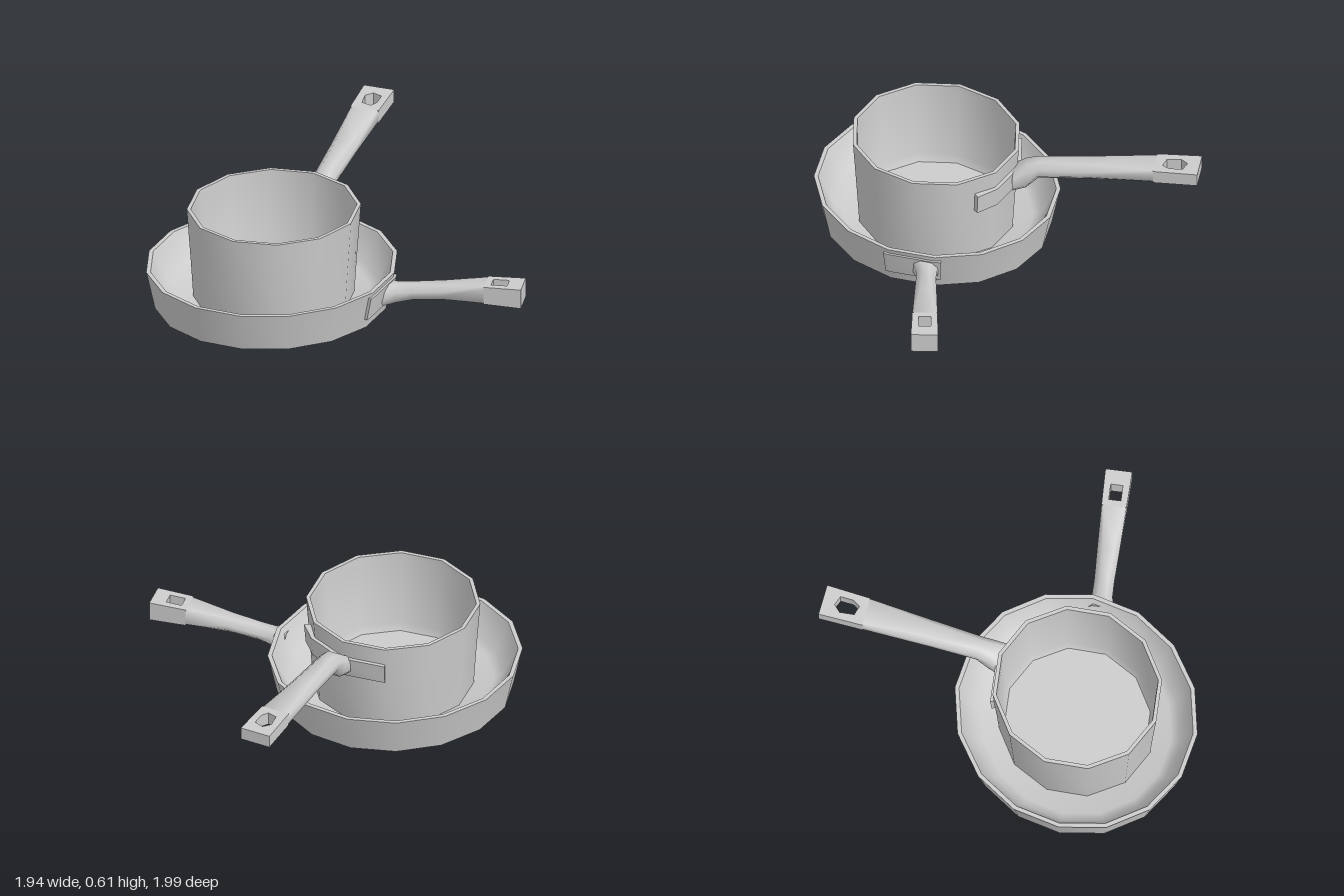
import * as THREE from 'three';
import { toCreasedNormals } from 'three/addons/utils/BufferGeometryUtils.js';

const metal = new THREE.MeshStandardMaterial({ color: 0xcccccc });
metal.name = 'light grey metal';

const rad = THREE.MathUtils.degToRad;

function addMesh(parent, name, geometry, crease = 42) {
  const mesh = new THREE.Mesh(toCreasedNormals(geometry, rad(crease)), metal);
  mesh.name = name;
  parent.add(mesh);
}

// Faceted vessel: the profile holds [radius ratio, height] from the outer base round to the inner floor
function addVessel(parent, name, v) {
  const pts = v.profile.map(([r, y]) => new THREE.Vector2(r, y));
  const geo = new THREE.LatheGeometry(pts, v.sides, rad(v.turn));
  geo.scale(v.rx, 1, v.rz);
  geo.translate(v.cx, 0, v.cz);
  addMesh(parent, name, geo);
}

// Mounting plate that wraps the wall through the given angles and leans with it;
// low and high are [height, wall radius ratio]
function addPlate(parent, name, v, angles, inset, outset, low, high) {
  const at = (deg, r) => new THREE.Vector2(r * Math.cos(rad(deg)), -r * Math.sin(rad(deg)));
  const outline = [
    ...angles.map((a) => at(a, 1 + outset)),
    ...[...angles].reverse().map((a) => at(a, 1 - inset)),
  ];
  const geo = new THREE.ExtrudeGeometry(new THREE.Shape(outline), { depth: 1, bevelEnabled: false });
  geo.rotateX(-Math.PI / 2);
  const p = geo.attributes.position;
  for (let i = 0; i < p.count; i++) {
    const [y, r] = p.getY(i) > 0.5 ? high : low;
    p.setXYZ(i, v.cx + p.getX(i) * v.rx * r, y, v.cz + p.getZ(i) * v.rz * r);
  }
  addMesh(parent, name, geo);
}

// Chamfered sections [x, bottom, top, width, chamfer] joined into a stem
function stemGeometry(sections) {
  const pos = [], index = [];
  for (const [x, b, t, w, c] of sections) {
    const h = w / 2;
    const ring = [[c - h, t], [h - c, t], [h, t - c], [h, b + c], [h - c, b], [c - h, b], [-h, b + c], [-h, t - c]];
    ring.forEach(([z, y]) => pos.push(x, y, z));
  }
  for (let i = 0; i < sections.length - 1; i++) {
    for (let j = 0; j < 8; j++) {
      const a = i * 8 + j, b = i * 8 + (j + 1) % 8, c = b + 8, d = a + 8;
      index.push(a, b, d, b, c, d);
    }
  }
  const geo = new THREE.BufferGeometry();
  geo.setAttribute('position', new THREE.Float32BufferAttribute(pos, 3));
  geo.setIndex(index);
  return geo;
}

// Flat end block with a hanging hole, following the heights of the stem
function gripEndGeometry(from, to, hole) {
  const shape = new THREE.Shape([
    new THREE.Vector2(from[0], -from[3] / 2), new THREE.Vector2(to[0], -to[3] / 2),
    new THREE.Vector2(to[0], to[3] / 2), new THREE.Vector2(from[0], from[3] / 2),
  ]);
  shape.holes.push(new THREE.Path(hole.map(([x, y]) => new THREE.Vector2(x, y))));
  const geo = new THREE.ExtrudeGeometry(shape, { depth: 1, bevelEnabled: false });
  geo.rotateX(-Math.PI / 2);
  const p = geo.attributes.position;
  for (let i = 0; i < p.count; i++) {
    const f = (p.getX(i) - from[0]) / (to[0] - from[0]);
    const low = THREE.MathUtils.lerp(from[1], to[1], f);
    const high = THREE.MathUtils.lerp(from[2], to[2], f);
    p.setY(i, THREE.MathUtils.lerp(low, high, p.getY(i)));
  }
  return geo;
}

// Handle pointing along (dx, dz), with its tip at (x, z)
function addHandle(parent, name, x, z, dx, dz, sections, hole) {
  const handle = new THREE.Group();
  handle.name = name;
  handle.position.set(x, 0, z);
  handle.rotation.y = Math.atan2(-dz, dx);
  const n = sections.length;
  addMesh(handle, name + 'Stem', stemGeometry(sections.slice(0, n - 1)), 60);
  addMesh(handle, name + 'End', gripEndGeometry(sections[n - 2], sections[n - 1], hole));
  parent.add(handle);
}

export function createModel() {
  const model = new THREE.Group();
  model.name = 'stackedPans';

  // Wide shallow frying pan
  const pan = {
    cx: -0.26, cz: 0.002, rx: 0.712, rz: 0.666, sides: 16, turn: 4,
    profile: [[0, 0], [0.93, 0], [0.99, 0.2], [1, 0.228], [0.965, 0.228], [0.945, 0.2],
      [0.85, 0.06], [0.78, 0.035], [0, 0.035]],
  };
  addVessel(model, 'fryingPan', pan);
  addPlate(model, 'fryingPanPlate', pan, [38, 41, 63.5, 65.5], 0.025, 0.02, [0.06, 0.948], [0.2, 0.99]);
  addHandle(model, 'fryingPanHandle', 0.822, 0.935, 0.78, 0.625, [
    [-0.79, 0.06, 0.195, 0.15, 0.03],
    [-0.71, 0.08, 0.19, 0.115, 0.035],
    [-0.62, 0.105, 0.2, 0.112, 0.035],
    [-0.45, 0.128, 0.217, 0.125, 0.03],
    [-0.21, 0.14, 0.245, 0.14, 0.01],
    [0, 0.135, 0.25, 0.15, 0],
  ], [[-0.175, -0.034], [-0.085, -0.034], [-0.085, 0.034], [-0.175, 0.034]]);

  // Deeper saucepan standing inside the frying pan
  const pot = {
    cx: -0.253, cz: 0.014, rx: 0.487, rz: 0.468, sides: 12, turn: 5,
    profile: [[0, 0.035], [0.925, 0.035], [0.95, 0.23], [1, 0.575], [0.955, 0.575],
      [0.945, 0.53], [0.9, 0.12], [0.86, 0.075], [0, 0.07]],
  };
  addVessel(model, 'saucepan', pot);
  addPlate(model, 'saucepanPlate', pot, [11, -5, -35, -65], 0.03, 0.045, [0.355, 0.968], [0.47, 0.985]);
  addHandle(model, 'saucepanHandle', 0.909, -0.93, 0.73, -0.683, [
    [-1.04, 0.355, 0.47, 0.17, 0.03],
    [-0.97, 0.37, 0.525, 0.14, 0.035],
    [-0.9, 0.44, 0.55, 0.125, 0.035],
    [-0.6, 0.48, 0.573, 0.145, 0.03],
    [-0.25, 0.523, 0.6, 0.165, 0.01],
    [0, 0.535, 0.61, 0.177, 0],
  ], [[-0.205, -0.02], [-0.165, -0.045], [-0.09, -0.045], [-0.07, 0.01], [-0.11, 0.045], [-0.19, 0.035]]);

  return model;
}
